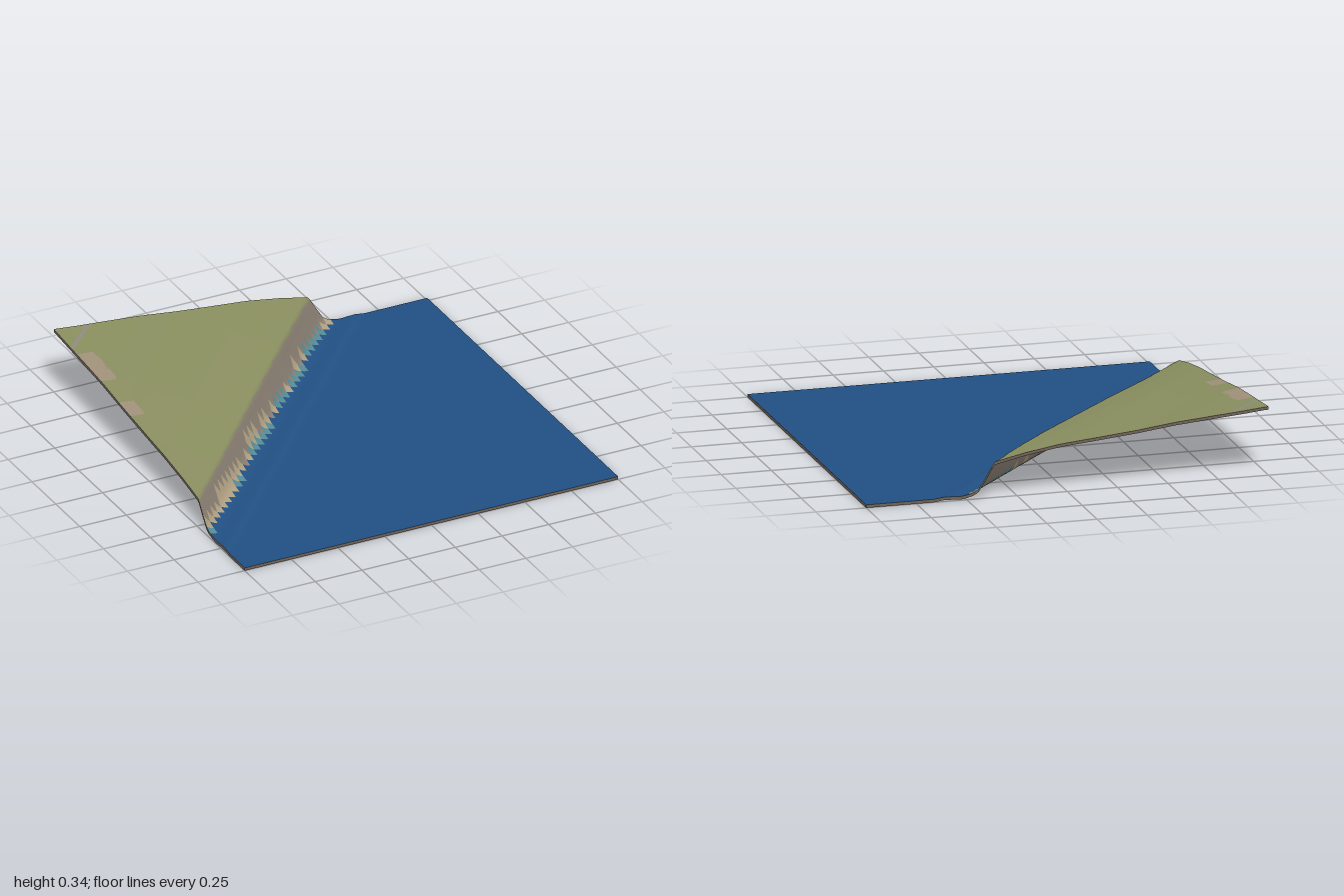
import * as THREE from 'three';

const N = 150;        // grid cells per side
const BLOCK = 0.04;   // size of the coloured shore squares
const LIP = 0.015;    // depth of the edge band

const mat = (name, color) => new THREE.MeshStandardMaterial({ name, color, side: THREE.DoubleSide });

// piecewise linear lookup
function lookup(points, v) {
  if (v <= points[0][0]) return points[0][1];
  for (let i = 1; i < points.length; i++) {
    const [a, ya] = points[i - 1], [b, yb] = points[i];
    if (v <= b) return ya + (yb - ya) * (v - a) / (b - a);
  }
  return points[points.length - 1][1];
}

// repeatable noise in 0..1 for a pair of cell numbers
function noise(i, j) {
  const v = Math.sin(i * 127.1 + j * 311.7) * 43758.5453;
  return v - Math.floor(v);
}

// distance seaward of the diagonal shoreline, and position along it
const along = (x, z) => (x - z) / 2;
const seaward = (x, z) => x + z + 0.46 + 0.105 * along(x, z);

const RIM = -0.105;
const rimLine = [[-0.78, 0.155], [-0.5, 0.158], [-0.2, 0.172], [0.3, 0.186], [0.5, 0.185], [0.7, 0.175]];
const slope = [[0, 0], [0.16, 0.032], [0.34, 0.06], [0.55, 0.083], [0.75, 0.106],
  [0.95, 0.135], [1.15, 0.156], [1.42, 0.182]];
const cliff = [[0, 1], [0.045, 0.55], [0.08, 0.22], [0.105, 0.115], [0.14, 0.055], [0.18, 0.012], [0.2, 0]];
const shoal = [[0.06, 0], [0.11, 0.006], [0.16, 0.007], [0.21, 0]];

function height(x, z) {
  const u = seaward(x, z), t = along(x, z);
  const rim = lookup(rimLine, t);
  if (u < RIM) {
    const depth = RIM - u;
    const fade = Math.max(0, 1 - depth / 1.3);
    return 0.158 + (rim - 0.158) * fade + lookup(slope, depth);
  }
  return LIP + (rim - LIP) * lookup(cliff, u - RIM) + lookup(shoal, u);
}

// which part a triangle belongs to, by its centre
function partAt(x, z) {
  const bi = Math.floor((x + 1) / BLOCK), bj = Math.floor((z + 1) / BLOCK);
  const bx = (bi + 0.5) * BLOCK - 1, bz = (bj + 0.5) * BLOCK - 1;
  const u = seaward(x, z), ub = seaward(bx, bz), r = noise(bi, bj), t = along(bx, bz);
  if (x + z > -1.827 && x + z < -1.8) return 'path';
  const jag = 0.07 - 0.02 * noise(bj, 3);
  if (x < -0.96 + jag - 0.01 && z > -0.76 && z < -0.51) return 'barePatch';
  if (x < -0.92 && z > -0.32 && z < -0.2) return 'barePatch';
  if (u < RIM + 0.004) return 'grass';
  if (ub > 0.02) return 'water';
  if (ub > -0.045) {
    if (ub > -0.012) return r < 0.25 - t * 0.3 ? 'sand' : 'shallows';
    return r < 0.65 - t * 0.8 ? 'sand' : 'cliff';
  }
  return 'cliff';
}

export function createModel() {
  const model = new THREE.Group();
  model.name = 'coastalTerrain';
  const materials = {
    grass: mat('grass green', 0x8a8f60),
    cliff: mat('cliff stone', 0x8c8175),
    barePatch: mat('bare soil', 0xa0917a),
    path: mat('path grey', 0x8f8b83),
    sand: mat('sand', 0xb2a282),
    shallows: mat('shallow teal', 0x568c96),
    water: mat('sea blue', 0x215084),
    edge: mat('edge brown', 0x6f6359),
  };

  // shared terrain vertices
  const coord = (i) => (i / N) * 2 - 1;
  const id = (i, j) => j * (N + 1) + i;
  const positions = [];
  for (let j = 0; j <= N; j++)
    for (let i = 0; i <= N; i++) positions.push(coord(i), height(coord(i), coord(j)), coord(j));

  // triangles, split parallel to the shore and sorted into parts
  const all = [], parts = {};
  const addTriangle = (...corners) => {
    let x = 0, z = 0;
    for (const c of corners) {
      x += positions[c * 3] / 3;
      z += positions[c * 3 + 2] / 3;
    }
    (parts[partAt(x, z)] ??= []).push(...corners);
    all.push(...corners);
  };
  for (let j = 0; j < N; j++)
    for (let i = 0; i < N; i++) {
      addTriangle(id(i, j), id(i, j + 1), id(i + 1, j));
      addTriangle(id(i + 1, j), id(i, j + 1), id(i + 1, j + 1));
    }

  const terrain = new THREE.BufferGeometry();
  terrain.setAttribute('position', new THREE.Float32BufferAttribute(positions, 3));
  terrain.setIndex(all);
  terrain.computeVertexNormals();
  for (const [name, index] of Object.entries(parts)) {
    const geometry = new THREE.BufferGeometry();
    geometry.setAttribute('position', terrain.getAttribute('position'));
    geometry.setAttribute('normal', terrain.getAttribute('normal'));
    geometry.setIndex(index);
    const mesh = new THREE.Mesh(geometry, materials[name]);
    mesh.name = name;
    model.add(mesh);
  }

  // thin band hanging from each side of the sheet
  const sides = {
    frontEdge: (k) => [coord(k), 1],
    rightEdge: (k) => [1, -coord(k)],
    backEdge: (k) => [-coord(k), -1],
    leftEdge: (k) => [-1, coord(k)],
  };
  for (const [name, at] of Object.entries(sides)) {
    const points = [], index = [];
    for (let k = 0; k <= N; k++) {
      const [x, z] = at(k), y = height(x, z);
      points.push(x, y, z, x, y - LIP, z);
      if (k < N) index.push(2 * k, 2 * k + 1, 2 * k + 2, 2 * k + 2, 2 * k + 1, 2 * k + 3);
    }
    const geometry = new THREE.BufferGeometry();
    geometry.setAttribute('position', new THREE.Float32BufferAttribute(points, 3));
    geometry.setIndex(index);
    geometry.computeVertexNormals();
    const mesh = new THREE.Mesh(geometry, materials.edge);
    mesh.name = name;
    model.add(mesh);
  }
  return model;
}
